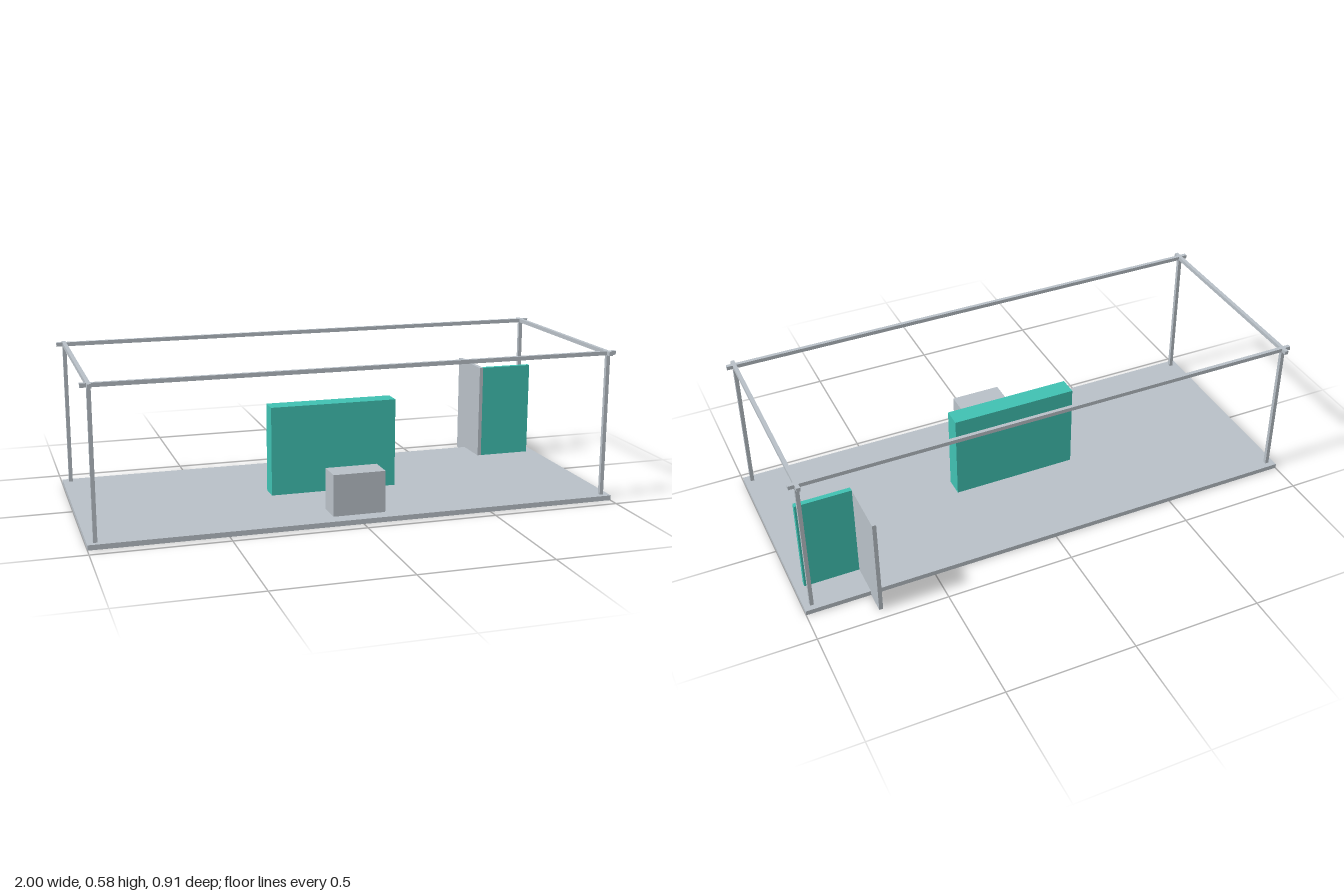
import * as THREE from 'three';

export function createModel() {
  const group = new THREE.Group();
  const grey = new THREE.MeshStandardMaterial({ color: 0xb8c0c7 });
  grey.name = 'light grey';
  const teal = new THREE.MeshStandardMaterial({ color: 0x40c1b2 });
  teal.name = 'teal';

  // Box given by its minimum and maximum on each axis
  function box(name, material, [x0, x1], [y0, y1], [z0, z1]) {
    const mesh = new THREE.Mesh(new THREE.BoxGeometry(x1 - x0, y1 - y0, z1 - z0), material);
    mesh.position.set((x0 + x1) / 2, (y0 + y1) / 2, (z0 + z1) / 2);
    mesh.name = name;
    group.add(mesh);
  }

  const bar = 0.0145; // thickness of the frame bars
  const around = (c) => [c - bar / 2, c + bar / 2];
  const width = [-1, 1];
  const depth = [-0.373, 0.457];
  const rail = [0.568, 0.583];
  const postX = [-0.97, 0.97];
  const postZ = [-0.344, 0.43];

  // Floor, a hair above the panel feet so these show from below
  box('floor', grey, width, [0.001, 0.02], depth);

  // Open frame: corner posts and crossing top rails
  for (const x of postX) {
    for (const z of postZ) box('cornerPost', grey, around(x), [0.02, 0.583], around(z));
    box('sideRail', grey, around(x), rail, depth);
  }
  for (const z of postZ) box('longRail', grey, width, rail, around(z));

  // Free-standing wall and counter
  box('centreWall', teal, [-0.25, 0.25], [0, 0.367], [0.007, 0.081]);
  box('counter', grey, [-0.1, 0.1], [0.02, 0.178], [0.3, 0.4]);

  // Corner booth: back panel and the side panel reaching past the floor
  box('boothPanel', teal, [0.753, 0.965], [0, 0.401], [-0.247, -0.228]);
  box('boothSidePanel', grey, [0.738, 0.753], [0, 0.401], [-0.457, -0.228]);

  return group;
}
